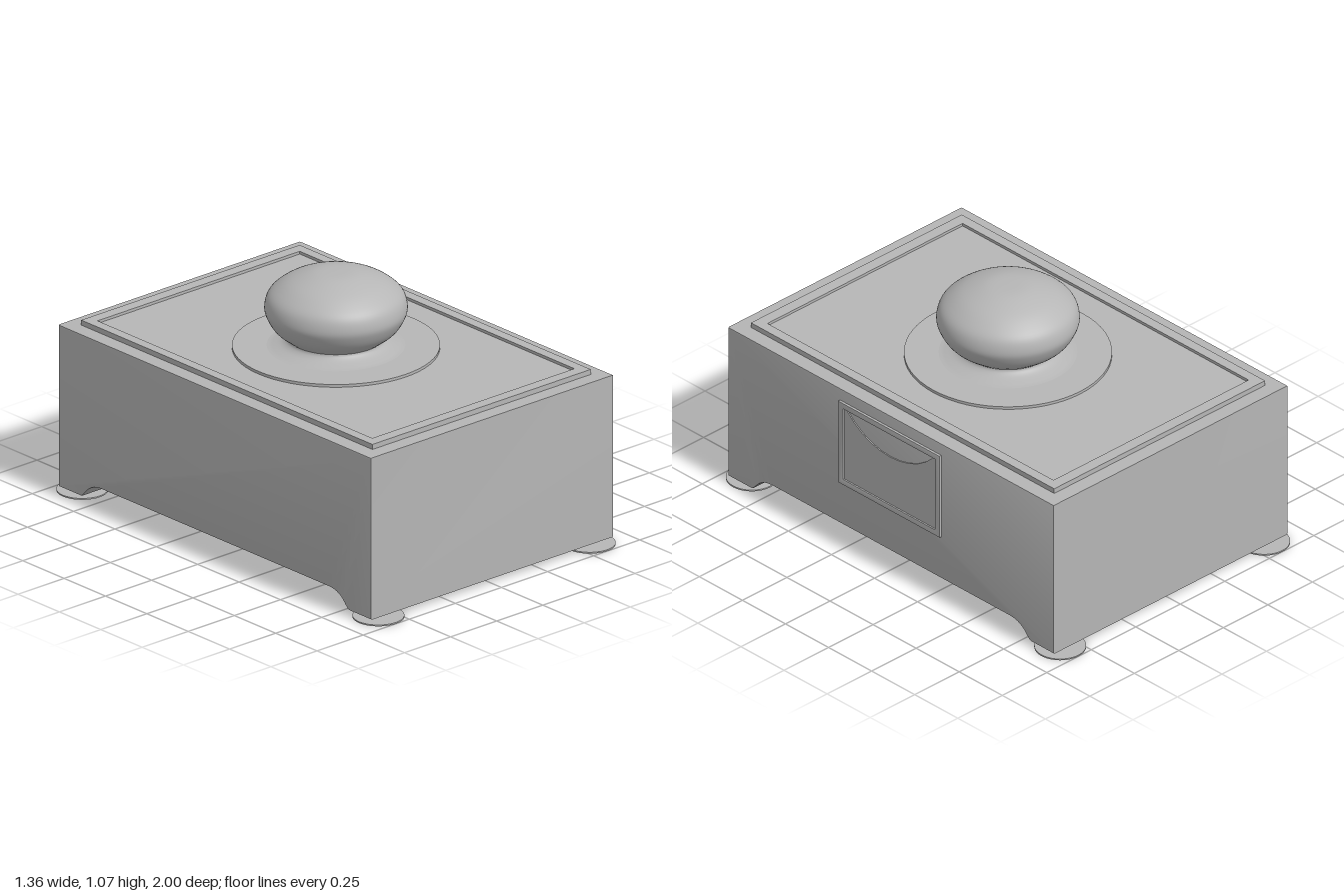
import * as THREE from 'three';
import { toCreasedNormals } from 'three/addons/utils/BufferGeometryUtils.js';

export function createModel() {
  const model = new THREE.Group();
  model.name = 'box';
  const grey = new THREE.MeshStandardMaterial({ color: 0xb6b6b6 });
  grey.name = 'grey';

  const add = (name, geometry, x = 0, y = 0, z = 0, parent = model) => {
    const mesh = new THREE.Mesh(geometry, grey);
    mesh.name = name;
    mesh.position.set(x, y, z);
    parent.add(mesh);
    return mesh;
  };
  const rect = (w, h, Type = THREE.Shape) => {
    const s = new Type();
    s.moveTo(-w, -h).lineTo(w, -h).lineTo(w, h).lineTo(-w, h).closePath();
    return s;
  };
  const extrude = (shape, depth, bevel = 0, segments = 2) => {
    const g = new THREE.ExtrudeGeometry(shape, {
      depth: depth - 2 * bevel, bevelEnabled: bevel > 0, bevelThickness: bevel,
      bevelSize: bevel, bevelOffset: -bevel, bevelSegments: segments, curveSegments: 10,
    });
    g.translate(0, 0, bevel);
    return toCreasedNormals(g, 0.6);
  };

  // Body: side profile with an arched underside, run across the width
  const side = new THREE.Shape();
  side.moveTo(-0.945, 0.023).lineTo(-0.81, 0.023);
  side.bezierCurveTo(-0.785, 0.028, -0.775, 0.088, -0.69, 0.09);
  side.lineTo(0.69, 0.09);
  side.bezierCurveTo(0.775, 0.088, 0.785, 0.028, 0.81, 0.023);
  side.lineTo(0.945, 0.023).lineTo(0.945, 0.73).lineTo(-0.945, 0.73).closePath();
  const body = extrude(side, 1.316, 0.007);
  body.translate(0, 0, -0.658).rotateY(-Math.PI / 2);
  add('body', body);

  // Lid: raised border around a sunken panel
  const border = rect(0.592, 0.88);
  border.holes.push(rect(0.548, 0.83, THREE.Path));
  const lidRim = extrude(border, 0.024);
  lidRim.rotateX(-Math.PI / 2);
  add('lidBorder', lidRim, 0, 0.728, 0);
  add('lidPanel', new THREE.BoxGeometry(1.1, 0.014, 1.664), 0, 0.733, 0);

  // Knob: thin base disc, flared neck and flattened bulb
  const v = (x, y) => new THREE.Vector2(x, y);
  const neck = new THREE.SplineCurve([
    v(0.27, 0.753), v(0.225, 0.765), v(0.203, 0.779), v(0.198, 0.792),
  ]).getPoints(10);
  const bulb = new THREE.SplineCurve([
    v(0.198, 0.79), v(0.25, 0.832), v(0.28, 0.88), v(0.29, 0.92), v(0.277, 0.97),
    v(0.24, 1.008), v(0.18, 1.043), v(0.09, 1.07), v(0, 1.074),
  ]).getPoints(36);
  bulb[bulb.length - 1].set(0, 1.074);
  add('knobBase', new THREE.CylinderGeometry(0.42, 0.42, 0.014, 64), 0, 0.745, 0);
  add('knobNeck', new THREE.LatheGeometry([v(0.3, 0.75), ...neck], 64));
  add('knobBulb', new THREE.LatheGeometry(bulb, 64));

  // Card holder on one side: raised frame and a panel with a scooped top
  const holder = new THREE.Group();
  holder.name = 'cardHolder';
  holder.position.set(0.656, 0.483, 0);
  holder.rotation.y = Math.PI / 2;
  model.add(holder);
  const frame = rect(0.294, 0.194);
  frame.holes.push(rect(0.265, 0.167, THREE.Path));
  add('holderFrame', extrude(frame, 0.014, 0.004), 0, 0, 0, holder);
  const card = new THREE.Shape();
  card.moveTo(-0.268, -0.17).lineTo(0.268, -0.17).lineTo(0.268, 0.17).lineTo(0.25, 0.165);
  card.bezierCurveTo(0.12, 0.02, -0.12, 0.02, -0.25, 0.165);
  card.lineTo(-0.268, 0.17).closePath();
  add('holderPanel', extrude(card, 0.007), 0, 0, 0, holder);

  // Feet: a wide thin pad under a short stem at each corner
  for (const sx of [-1, 1]) {
    for (const sz of [-1, 1]) {
      const foot = new THREE.Group();
      foot.name = 'foot';
      foot.position.set(sx * 0.573, 0, sz * 0.895);
      model.add(foot);
      add('footPad', new THREE.CylinderGeometry(0.105, 0.105, 0.006, 40), 0, 0.003, 0, foot);
      add('footStem', new THREE.CylinderGeometry(0.035, 0.035, 0.02, 24), 0, 0.015, -sz * 0.018, foot);
    }
  }
  return model;
}
